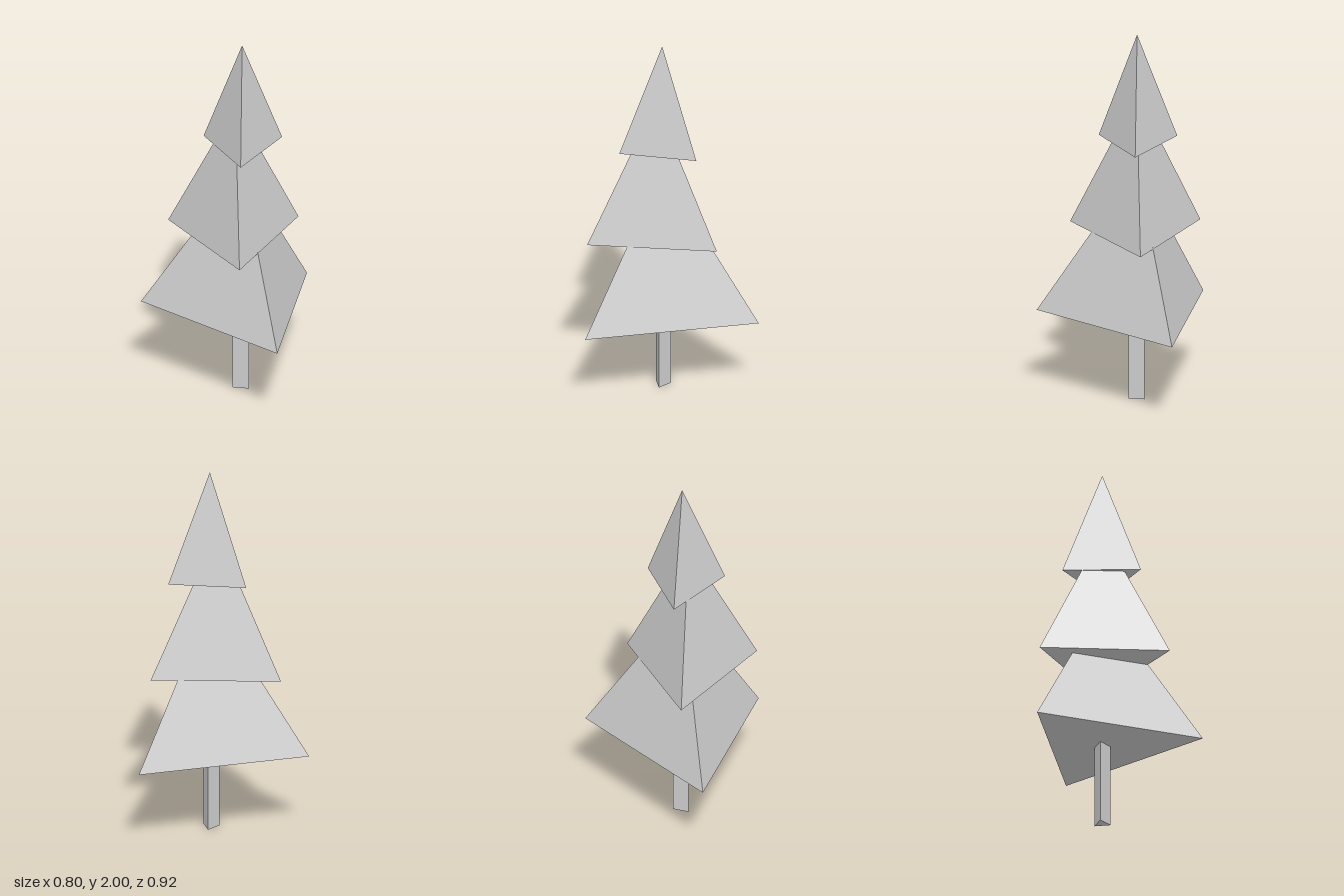
import * as THREE from 'three';

const lightGrey = new THREE.MeshStandardMaterial({ color: 0xcccccc });
lightGrey.name = 'lightGrey';

// Three-sided prism or pyramid with flat facets, standing on y = base
function threeSided(name, topRadius, radius, base, top, x, z, degrees) {
  const solid = new THREE.CylinderGeometry(topRadius, radius, top - base, 3);
  const geometry = solid.toNonIndexed();
  geometry.computeVertexNormals();
  const mesh = new THREE.Mesh(geometry, lightGrey);
  mesh.name = name;
  mesh.position.set(x, (base + top) / 2, z);
  mesh.rotation.y = THREE.MathUtils.degToRad(degrees);
  return mesh;
}

export function createModel() {
  const tree = new THREE.Group();
  tree.name = 'tree';

  // Trunk, flat side to the front
  tree.add(threeSided('trunk', 0.049, 0.049, 0, 0.46, 0.132, 0, 180));

  // Overlapping foliage tiers, each turned a little differently
  tree.add(threeSided('lowerFoliage', 0, 0.532, 0.45, 1.27, 0.133, 0, -90));
  tree.add(threeSided('middleFoliage', 0, 0.392, 0.895, 1.655, 0.104, 0.027, 12.8));
  tree.add(threeSided('upperFoliage', 0, 0.236, 1.405, 2, 0.135, 0, 7.8));

  return tree;
}
